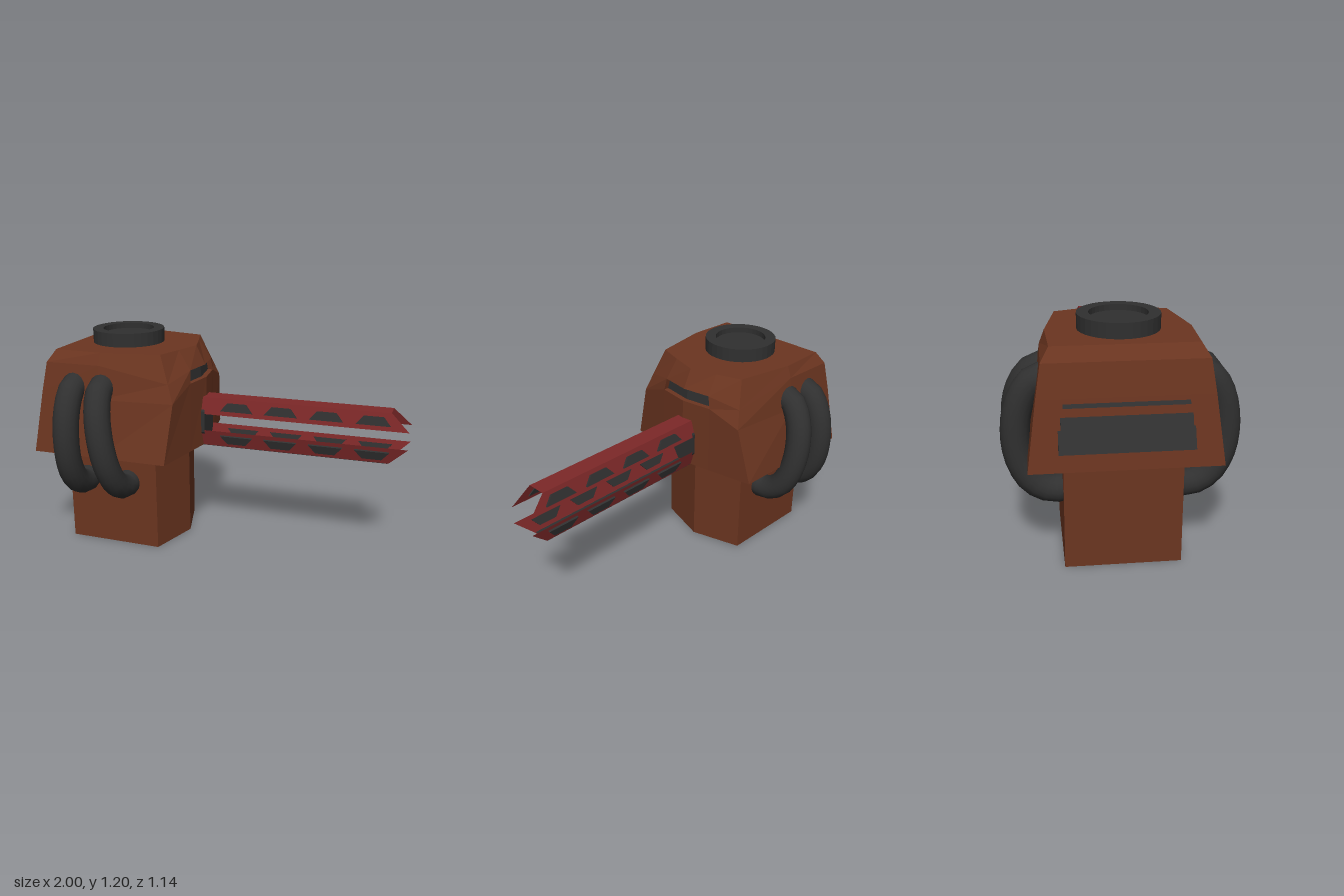
import * as THREE from 'three';

const mat = (color, extra = {}) => new THREE.MeshStandardMaterial({ color, ...extra });
const brown = mat(0x6b3520, { flatShading: true, side: THREE.DoubleSide });
const red = mat(0x7d2828, { flatShading: true, side: THREE.DoubleSide });
const dark = mat(0x303030, { flatShading: true, side: THREE.DoubleSide });
const rubber = mat(0x303030);

function add(parent, name, geometry, material) {
  const mesh = new THREE.Mesh(geometry, material);
  mesh.name = name;
  parent.add(mesh);
  return mesh;
}

// Geometry from a list of quads or triangles, each a list of [x, y, z] corners
function facets(faces) {
  const pos = [];
  for (const f of faces) {
    for (let i = 1; i < f.length - 1; i++) pos.push(...f[0], ...f[i], ...f[i + 1]);
  }
  const g = new THREE.BufferGeometry();
  g.setAttribute('position', new THREE.Float32BufferAttribute(pos, 3));
  g.computeVertexNormals();
  return g;
}

const shape = pts => new THREE.Shape(pts.map(p => new THREE.Vector2(...p)));
const extrude = (pts, depth) => new THREE.ExtrudeGeometry(shape(pts), { depth, bevelEnabled: false });

// Half outlines of the head from back corner to front centre; the other half is mirrored
const halfRings = [
  [[-0.98, 0.565, 0.45], [-0.6, 0.565, 0.445], [-0.21, 0.565, 0.44], [-0.162, 0.565, 0.18], [-0.13, 0.565, 0]],
  [[-0.935, 0.9, 0.405], [-0.6, 0.88, 0.4], [-0.187, 0.88, 0.36], [-0.16, 0.95, 0.175], [-0.133, 0.95, 0]],
  [[-0.91, 1.06, 0.38], [-0.6, 1.06, 0.375], [-0.223, 0.978, 0.332], [-0.165, 1.02, 0.16], [-0.14, 1.02, 0]],
  [[-0.87, 1.125, 0.34], [-0.6, 1.125, 0.35], [-0.28, 1.125, 0.29], [-0.233, 1.125, 0.15], [-0.19, 1.125, 0]],
];
const flipZ = ([x, y, z]) => [x, y, -z];

function buildHead(group) {
  const rings = halfRings.map(h => [...h, ...h.slice(0, 4).reverse().map(flipZ)]);
  const faces = [];
  const slot = [];
  const inset = ([x, y, z]) => [x - 0.03, y, z];
  for (let r = 0; r < 3; r++) {
    for (let i = 0; i < 9; i++) {
      const j = (i + 1) % 9;
      const quad = [rings[r][i], rings[r][j], rings[r + 1][j], rings[r + 1][i]];
      if (r === 1 && (i === 3 || i === 4)) {
        // Recessed visor slot: dark back wall and brown rims
        slot.push(quad.map(inset));
        for (const [a, b] of [[0, 1], [2, 3], i === 3 ? [3, 0] : [1, 2]]) {
          faces.push([quad[a], quad[b], inset(quad[b]), inset(quad[a])]);
        }
      } else faces.push(quad);
    }
  }
  faces.push(rings[3], [...rings[0]].reverse());
  add(group, 'head', facets(faces), brown);
  add(group, 'visorSlot', facets(slot), dark);
}

function buildVents(group) {
  const vents = new THREE.Group();
  vents.name = 'rearVents';
  for (let i = 0; i < 4; i++) {
    const x = -0.998 + i * 0.026, y = 0.66 + i * 0.1;
    const half = 0.31 - i * 0.012;
    const profile = [[x, y], [x + 0.06, y - 0.012], [x + 0.085, y + 0.1], [x + 0.048, y + 0.108]];
    add(vents, 'ventSlat', extrude(profile, half * 2).translate(0, 0, -half), dark);
  }
  group.add(vents);
}

function buildHoses(group) {
  // z, y points of the hose loop
  const loop = [[0.32, 0.955], [0.41, 0.93], [0.475, 0.83], [0.502, 0.67], [0.48, 0.52], [0.42, 0.42], [0.33, 0.375], [0.26, 0.385]];
  for (const side of [1, -1]) {
    for (const [top, bottom] of [[-0.75, -0.75], [-0.59, -0.5]]) {
      const pts = loop.map(([z, y]) => new THREE.Vector3(
        THREE.MathUtils.lerp(bottom, top, THREE.MathUtils.clamp((y - 0.375) / 0.58, 0, 1)), y, z * side));
      const path = new THREE.CatmullRomCurve3(pts);
      add(group, side > 0 ? 'frontHose' : 'rearHose', new THREE.TubeGeometry(path, 16, 0.07, 16), rubber);
    }
  }
}

function buildBarrel(group) {
  const barrel = new THREE.Group();
  barrel.name = 'barrel';
  barrel.position.set(-0.14, 0.705, -0.01);
  barrel.rotation.y = 0.022;
  group.add(barrel);

  // Octagonal mount plate behind the rails
  const plate = extrude([[0.035, 0.125], [0.075, 0.06], [0.075, -0.06], [0.035, -0.125],
    [-0.035, -0.125], [-0.075, -0.06], [-0.075, 0.06], [-0.035, 0.125]], 0.03);
  add(barrel, 'barrelMount', plate.rotateY(Math.PI / 2).translate(-0.015, 0, 0), dark);

  const inY = 0.047, outY = 0.14, inZ = 0.075, outZ = 0.05;
  const tilt = Math.atan2(inZ - outZ, outY - inY);
  for (const s of [1, -1]) {
    const name = s > 0 ? 'upperRail' : 'lowerRail';
    const rail = new THREE.Group();
    rail.name = name;
    barrel.add(rail);

    // Thin folded channel with slanted tips
    const section = [[inY, inZ, 1.138], [outY, outZ, 1.04], [outY, -outZ, 1.04], [inY, -inZ, 1.138]];
    const faces = [];
    for (let i = 0; i < 3; i++) {
      const [a, b] = [section[i], section[i + 1]];
      const f = [[-0.03, a[0] * s, a[1]], [a[2], a[0] * s, a[1]], [b[2], b[0] * s, b[1]], [-0.03, b[0] * s, b[1]]];
      faces.push(s > 0 ? f : f.reverse());
    }
    add(rail, name + 'Shell', facets(faces), red);

    // Four raised trapezoid inserts on each flank
    for (const side of [1, -1]) {
      for (let i = 0; i < 4; i++) {
        const insert = add(rail, 'railInsert', extrude(
          [[-0.092, -0.024 * s], [0.092, -0.024 * s], [0.052, 0.024 * s], [-0.052, 0.024 * s]], 0.016), dark);
        insert.geometry.translate(0, 0, -0.008);
        insert.position.set(0.2 + i * 0.25, s * 0.094, side * 0.066);
        insert.rotation.x = -s * side * tilt;
      }
    }
  }
  add(barrel, 'barrelUnderside', new THREE.BoxGeometry(1.06, 0.002, 0.098).translate(0.505, -0.141, 0), dark);
}

export function createModel() {
  const group = new THREE.Group();
  group.name = 'turret';

  // Five-sided pedestal with a pointed front
  const base = extrude([[-0.865, -0.285], [-0.33, -0.285], [-0.245, 0], [-0.33, 0.285], [-0.865, 0.285]], 0.58);
  add(group, 'pedestal', base.rotateX(-Math.PI / 2), brown);

  buildHead(group);

  // Round hatch with a shallow recess
  const hatch = [[0.2, 1.1], [0.2, 1.2], [0.142, 1.2], [0.142, 1.17], [0, 1.17]].map(p => new THREE.Vector2(...p));
  add(group, 'hatch', new THREE.LatheGeometry(hatch, 32).translate(-0.6, 0, 0), dark);

  buildVents(group);
  buildHoses(group);
  buildBarrel(group);
  return group;
}
